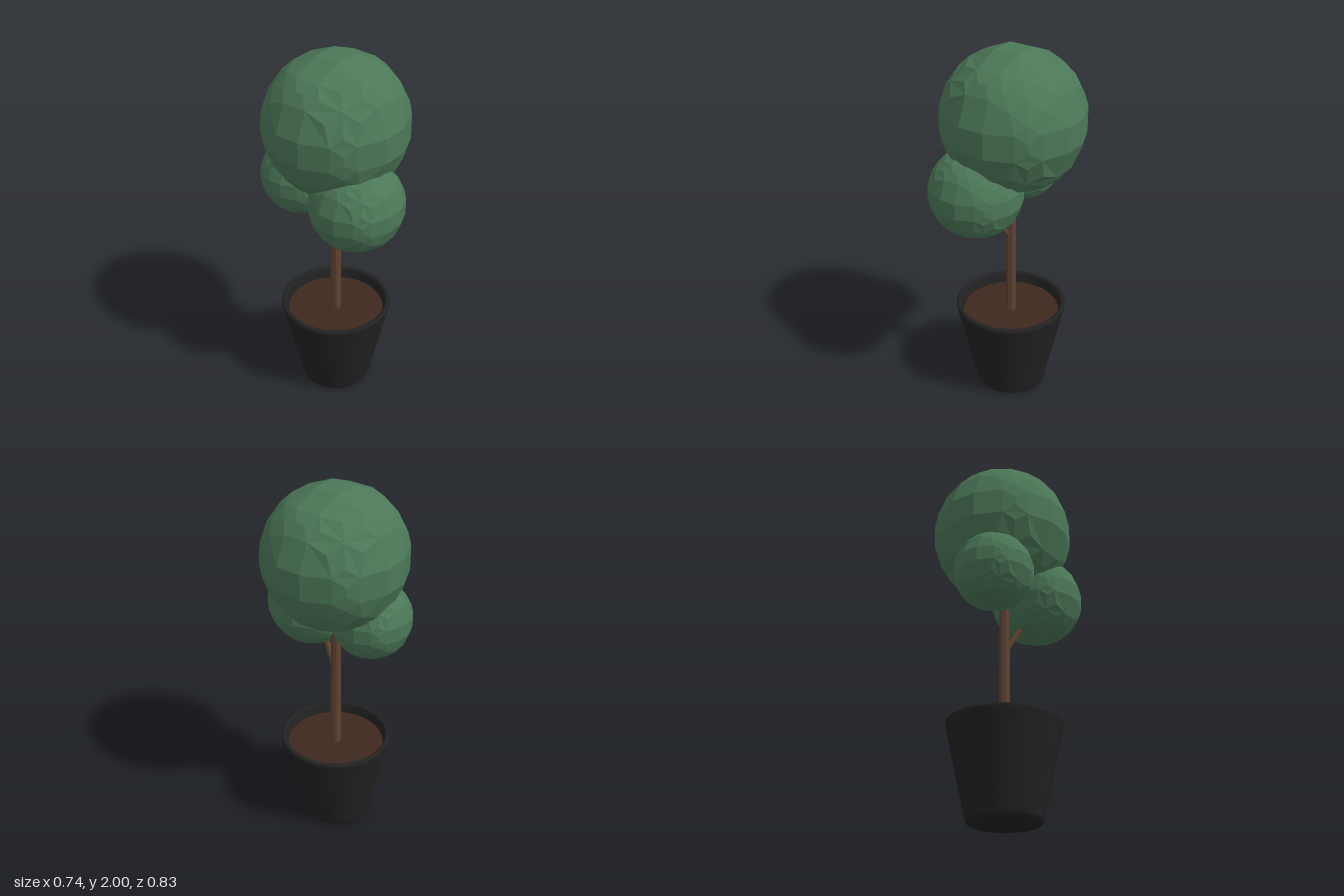
import * as THREE from 'three';

const mat = (color, extra = {}) => new THREE.MeshStandardMaterial({ color, ...extra });

// Faceted ball meshed on a cubic lattice: one vertex per boundary cell, one quad per crossing edge.
function latticeBall() {
  const R = 2.87;
  const inside = p => p[0] * p[0] + p[1] * p[1] + p[2] * p[2] < R * R;
  const step = (p, axis, d) => p.map((v, i) => (i === axis ? v + d : v));

  // Point on the lattice edge from p along an axis where it leaves the ball
  const crossing = (p, axis) => {
    const rest = p.reduce((s, v, i) => s + (i === axis ? 0 : v * v), 0);
    const t = Math.sqrt(Math.max(R * R - rest, 0));
    const q = [...p];
    q[axis] = p[axis] + 0.5 > 0 ? t : -t;
    return new THREE.Vector3(...q);
  };

  // Mean of a cell's edge crossings, pushed out onto the ball
  const cellVertex = cell => {
    const sum = new THREE.Vector3();
    for (let a = 0; a < 3; a++) {
      for (const u of [0, 1]) for (const v of [0, 1]) {
        const p = step(step(cell, (a + 1) % 3, u), (a + 2) % 3, v);
        if (inside(p) !== inside(step(p, a, 1))) sum.add(crossing(p, a));
      }
    }
    return sum.setLength(R);
  };

  const positions = [];
  for (let x = -4; x <= 4; x++) for (let y = -4; y <= 4; y++) for (let z = -4; z <= 4; z++) {
    for (let a = 0; a < 3; a++) {
      const p = [x, y, z], b = (a + 1) % 3, c = (a + 2) % 3;
      if (inside(p) === inside(step(p, a, 1))) continue;
      const quad = [[-1, -1], [0, -1], [0, 0], [-1, 0]]
        .map(([u, v]) => cellVertex(step(step(p, b, u), c, v)));
      if (!inside(p)) quad.reverse();
      for (const i of [0, 1, 2, 0, 2, 3]) positions.push(...quad[i].toArray());
    }
  }
  const geo = new THREE.BufferGeometry();
  geo.setAttribute('position', new THREE.Float32BufferAttribute(positions, 3));
  geo.scale(1 / 2.78, 1 / 2.78, 1 / 2.78);
  geo.computeVertexNormals();
  return geo;
}

export function createModel() {
  const group = new THREE.Group();
  const cx = -0.013, cz = -0.027;
  const add = (name, geo, material, x, y, z) => {
    const mesh = new THREE.Mesh(geo, material);
    mesh.name = name;
    mesh.position.set(x, y, z);
    group.add(mesh);
    return mesh;
  };

  // Tapered pot with softened base and rim, hollow above the soil
  const profile = [
    [0, 0], [0.175, 0], [0.178, 0], [0.188, 0.004], [0.194, 0.016], [0.196, 0.022],
    [0.301, 0.495], [0.304, 0.508], [0.303, 0.519], [0.296, 0.525],
    [0.286, 0.525], [0.279, 0.521], [0.275, 0.512], [0.262, 0.45],
  ].map(([r, y]) => new THREE.Vector2(r, y));
  add('pot', new THREE.LatheGeometry(profile, 40), mat(0x222222, { side: THREE.DoubleSide }), cx, 0, cz);

  // Soil disc
  const soil = new THREE.CircleGeometry(0.266, 40).rotateX(-Math.PI / 2);
  add('soil', soil, mat(0x3f2820), cx, 0.466, cz);

  // Trunk and side branch
  const bark = mat(0x5f4232, { flatShading: true });
  const limb = (name, from, to, r0, r1) => {
    const a = new THREE.Vector3(...from), b = new THREE.Vector3(...to);
    const dir = b.clone().sub(a), mid = a.clone().add(b).multiplyScalar(0.5);
    const geo = new THREE.CylinderGeometry(r1, r0, dir.length(), 8);
    const mesh = add(name, geo, bark, mid.x, mid.y, mid.z);
    mesh.quaternion.setFromUnitVectors(new THREE.Vector3(0, 1, 0), dir.normalize());
  };
  limb('trunk', [cx, 0.45, cz], [cx, 1.45, cz], 0.029, 0.027);
  limb('branch', [-0.018, 0.945, -0.012], [-0.075, 1.17, 0.12], 0.014, 0.017);

  // Foliage balls: name, centre, half extents
  const ball = latticeBall();
  const leaves = mat(0x4c7858, { flatShading: true });
  const foliage = [
    ['crownFoliage', [0, 1.63, -0.03], [0.37, 0.37, 0.367]],
    ['frontFoliage', [-0.09, 1.278, 0.177], [0.243, 0.234, 0.24]],
    ['backFoliage', [-0.07, 1.305, -0.21], [0.208, 0.206, 0.208]],
  ];
  for (const [name, pos, size] of foliage) add(name, ball, leaves, ...pos).scale.set(...size);

  return group;
}
